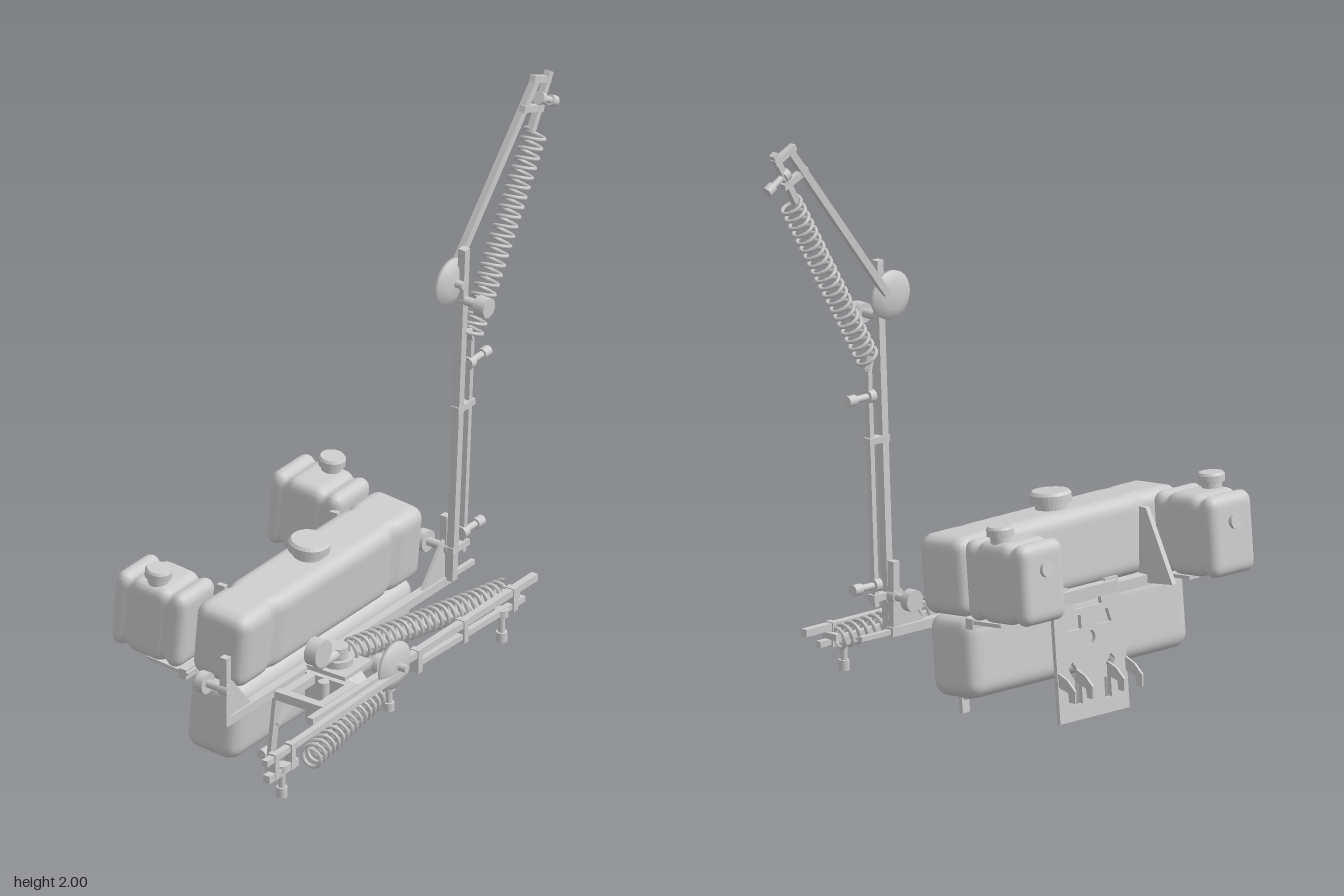
import * as THREE from 'three';
import { mergeVertices } from 'three/addons/utils/BufferGeometryUtils.js';

const mat = new THREE.MeshStandardMaterial({ color: 0xcccccc });
const V = (p) => new THREE.Vector3(...p);

export function createModel() {
  const root = new THREE.Group();

  const add = (name, geo, pos = [0, 0, 0], rot = [0, 0, 0]) => {
    const m = new THREE.Mesh(geo, mat);
    m.name = name;
    m.position.set(...pos);
    m.rotation.set(...rot);
    root.add(m);
    return m;
  };
  const box = (name, size, pos, rot) => add(name, new THREE.BoxGeometry(...size), pos, rot);

  // square bar between two points
  const bar = (name, a, b, w = 0.028, h = w) => {
    const d = V(b).sub(V(a));
    const m = box(name, [w, h, d.length()], V(a).add(V(b)).multiplyScalar(0.5).toArray());
    m.lookAt(V(b));
    return m;
  };
  // round rod between two points
  const rod = (name, a, b, r, r2 = r) => {
    const d = V(b).sub(V(a));
    const m = add(name, new THREE.CylinderGeometry(r2, r, d.length(), 20), V(a).add(V(b)).multiplyScalar(0.5).toArray());
    m.quaternion.setFromUnitVectors(new THREE.Vector3(0, 1, 0), d.normalize());
    return m;
  };
  // helical spring between two points
  const spring = (name, a, b, r, turns) => {
    const A = V(a), d = V(b).sub(A), dir = d.clone().normalize();
    const u = new THREE.Vector3(0, 0, 1).cross(dir).normalize(), w = dir.clone().cross(u);
    const curve = new THREE.Curve();
    curve.getPoint = (t, out = new THREE.Vector3()) => {
      const k = t * turns * Math.PI * 2;
      return out.copy(A).addScaledVector(d, t).addScaledVector(u, r * Math.cos(k)).addScaledVector(w, r * Math.sin(k));
    };
    add(name, new THREE.TubeGeometry(curve, turns * 16, 0.0065, 6));
  };
  // spray nozzle: stem with collar and tip
  const nozzle = (a, b) => {
    const mid = V(a).lerp(V(b), 0.7).toArray();
    rod('nozzleStem', a, mid, 0.011);
    rod('nozzleTip', mid, b, 0.018);
    rod('nozzleCollar', a, V(a).lerp(V(b), 0.22).toArray(), 0.022);
  };
  // smooth rounded body whose vertices may be shaped by a rule
  const body = (name, [w, h, d], r, rule, pos, rot) => {
    let g = new THREE.BoxGeometry(w, h, d, 48, 20, 28);
    const p = g.attributes.position, v = new THREE.Vector3(), q = new THREE.Vector3();
    const lim = new THREE.Vector3(w / 2 - r, h / 2 - r, d / 2 - r), neg = lim.clone().negate();
    for (let i = 0; i < p.count; i++) {
      v.fromBufferAttribute(p, i);
      q.copy(v).clamp(neg, lim);
      v.sub(q).setLength(r).add(q);
      rule(v);
      p.setXYZ(i, v.x, v.y, v.z);
    }
    g.deleteAttribute('normal');
    g.deleteAttribute('uv');
    g = mergeVertices(g, 1e-5);
    g.computeVertexNormals();
    return add(name, g, pos, rot);
  };
  const bump = (x, c, s) => Math.exp(-(((x - c) / s) ** 2));
  // ribbed filler cap
  const cap = (name, x, y, z, r, h) => {
    const pts = [[0, 0], [r * 0.75, 0], [r * 0.75, h * 0.4], [r, h * 0.45], [r, h * 0.85], [r * 0.88, h], [0, h]];
    const g = new THREE.LatheGeometry(pts.map((p) => new THREE.Vector2(...p)), 28).toNonIndexed();
    g.computeVertexNormals();
    add(name, g, [x, y, z], [0.09, 0, 0]);
  };
  const extrude = (name, pts, depth, pos, rot, holes = []) => {
    const s = new THREE.Shape(pts.map((p) => new THREE.Vector2(...p)));
    s.holes.push(...holes);
    return add(name, new THREE.ExtrudeGeometry(s, { depth, bevelEnabled: false }), pos, rot);
  };

  // main tank: upper and lower halves, grooved between the side columns
  const tilt = [0.09, 0, 0];
  const groove = (v) => { v.z *= 1 - 0.13 * (bump(v.x, -0.325, 0.02) + bump(v.x, 0.325, 0.02)); };
  body('upperTank', [0.995, 0.26, 0.205], 0.045, groove, [-0.172, 0.515, -0.022], tilt);
  body('lowerTank', [0.98, 0.27, 0.2], 0.05, () => {}, [-0.18, 0.252, -0.048], tilt);
  cap('mainCap', -0.18, 0.635, -0.015, 0.068, 0.068);

  // rear canisters with pinched waists, and their brackets
  const pinch = (v) => {
    const k = 1 - 0.09 * (bump(v.z, 0.075, 0.016) + bump(v.z, -0.075, 0.016));
    v.x *= k;
    v.y *= k;
  };
  for (const [x, s] of [[-0.6, -1], [0.245, 1]]) {
    body('canister', [0.195, 0.265, 0.275], 0.035, pinch, [x, 0.542, -0.28], tilt);
    cap('canisterCap', x + s * 0.05, 0.668, -0.265, 0.044, 0.055);
    rod('canisterBoss', [x, 0.6, -0.415], [x, 0.602, -0.428], 0.025);
    extrude('canisterBracket', [[0.13, 0.37], [0.13, 0.62], [0.16, 0.62], [0.28, 0.39]], 0.018,
      [x - s * 0.115 + 0.009, 0, 0], [0, Math.PI / 2, 0]);
    box('canisterShelf', [0.15, 0.012, 0.16], [x, 0.395, -0.21], tilt);
  }

  // rear rail and mounting plate
  box('rearRail', [1.0, 0.035, 0.03], [-0.175, 0.385, -0.152]);
  const poly = (pts) => new THREE.Path(pts.map((p) => new THREE.Vector2(...p)));
  const holes = [poly([[-0.06, 0.355], [0.06, 0.355], [0.06, 0.385], [-0.06, 0.385]])];
  holes.push(new THREE.Path().absarc(0, 0.255, 0.024, 0, Math.PI * 2, true));
  for (const s of [-1, 1]) {
    holes.push(poly([[s * 0.035, 0.29], [s * 0.1, 0.29], [s * 0.085, 0.335], [s * 0.035, 0.335]]));
    holes.push(poly([[s * 0.05, 0.05], [s * 0.08, 0.05], [s * 0.08, 0.13], [s * 0.105, 0.17], [s * 0.085, 0.19], [s * 0.05, 0.14]]));
  }
  extrude('mountingPlate', [[-0.155, 0], [0.155, 0], [0.155, 0.36], [0.14, 0.38], [0.14, 0.43], [0.085, 0.43],
    [0.075, 0.41], [-0.075, 0.41], [-0.085, 0.43], [-0.14, 0.43], [-0.14, 0.38], [-0.155, 0.36]],
  0.014, [-0.178, 0, -0.214], [0.09, 0, 0], holes);
  for (const x of [-0.33, -0.25, -0.11, -0.03]) {
    extrude('plateHook', [[0.2, 0.12], [0.2, 0.165], [0.24, 0.15], [0.275, 0.12], [0.275, 0.08], [0.25, 0.08], [0.245, 0.11]],
      0.008, [x - 0.004, 0, 0], [0, Math.PI / 2, 0]);
  }
  box('plateClamp', [0.25, 0.04, 0.03], [-0.178, 0.4, -0.175]);

  // front legs, struts and bolts
  for (const x of [-0.49, 0.135]) {
    bar('frontLeg', [x, 0.02, 0.057], [x, 0.34, 0.09], 0.032, 0.014);
    rod('legBolt', [x - 0.02, 0.085, 0.038], [x + 0.02, 0.085, 0.038], 0.016);
    bar('legStrut', [x, 0.2, 0.085], [x + 0.09, 0.27, 0.095], 0.016);
  }

  // front rail with gusseted uprights and clamp knobs
  bar('frontRail', [-0.79, 0.335, 0.09], [0.44, 0.335, 0.09], 0.03);
  for (const [x, s] of [[-0.78, 1], [0.42, -1]]) {
    box('upright', [0.026, 0.24, 0.026], [x, 0.445, 0.092]);
    extrude('gusset', [[x, 0.33], [x, 0.49], [x + s * 0.03, 0.47], [x + s * 0.13, 0.35], [x + s * 0.13, 0.33]], 0.012, [0, 0, 0.086]);
    rod('knobStem', [x, 0.45, 0.1], [x, 0.45, 0.02], 0.014);
    rod('clampKnob', [x, 0.45, 0.025], [x, 0.45, -0.005], 0.036);
    rod('clampCollar', [x, 0.45, 0.075], [x, 0.45, 0.11], 0.02);
  }
  bar('railEnd', [0.42, 0.335, 0.09], [0.57, 0.335, 0.092], 0.016);

  // centre carriage with motor
  for (const x of [-0.515, -0.35]) bar('carriageSide', [x, 0.325, 0.1], [x, 0.325, 0.29], 0.03);
  for (const z of [0.13, 0.275]) bar('carriageCross', [-0.53, 0.325, z], [-0.335, 0.325, z], 0.03);
  box('carriagePlate', [0.15, 0.014, 0.15], [-0.275, 0.35, 0.175]);
  extrude('carriageBox', [[-0.24, 0.27], [-0.2, 0.14], [-0.09, 0.15], [-0.085, 0.34], [-0.16, 0.36]], 0.14,
    [-0.34, 0, 0], [0, Math.PI / 2, 0]);
  rod('pivotPost', [-0.28, 0.25, 0.172], [-0.28, 0.42, 0.172], 0.035);
  rod('pivotCap', [-0.28, 0.35, 0.172], [-0.28, 0.38, 0.172], 0.05);
  rod('motor', [-0.395, 0.445, 0.155], [-0.395, 0.445, 0.2], 0.046);
  rod('motorArm', [-0.4, 0.4, 0.178], [-0.27, 0.4, 0.178], 0.02);
  rod('carriageKnob', [-0.43, 0.32, 0.225], [-0.43, 0.37, 0.225], 0.018);

  // domed joint disc facing the front, with a knob
  const joint = (x, y, z) => {
    const prof = [[0, -0.022], [0.045, -0.02], [0.08, -0.006], [0.08, 0.006], [0.045, 0.02], [0, 0.022]];
    add('jointDisc', new THREE.LatheGeometry(prof.map((p) => new THREE.Vector2(...p)), 32), [x, y, z], [Math.PI / 2, 0, 0]);
    rod('jointBolt', [x, y, z], [x, y, z + 0.05], 0.013);
  };

  // folded booms lying across the front
  bar('innerBoom', [-0.61, 0.325, 0.3], [0.615, 0.325, 0.3], 0.024);
  bar('innerBoomLower', [-0.03, 0.287, 0.3], [0.55, 0.275, 0.3], 0.02);
  for (const x of [-0.03, 0.22, 0.49]) box('boomClamp', [0.022, 0.08, 0.034], [x, 0.3, 0.3]);
  bar('outerBoom', [-0.93, 0.325, 0.352], [-0.14, 0.325, 0.335], 0.022);
  bar('outerBoomLower', [-0.92, 0.265, 0.352], [-0.76, 0.265, 0.352], 0.026);
  for (const x of [-0.88, -0.79]) box('outerClamp', [0.02, 0.09, 0.03], [x, 0.297, 0.352]);
  joint(-0.185, 0.355, 0.325);
  spring('outerSpring', [-0.73, 0.27, 0.385], [-0.25, 0.275, 0.305], 0.036, 15);
  spring('innerSpring', [-0.22, 0.37, 0.165], [0.52, 0.3, 0.25], 0.036, 24);
  bar('springLink', [0.51, 0.3, 0.25], [0.51, 0.3, 0.31], 0.02);
  nozzle([-0.835, 0.285, 0.352], [-0.835, 0.17, 0.352]);
  nozzle([-0.18, 0.28, 0.3], [-0.18, 0.185, 0.3]);
  nozzle([0.435, 0.285, 0.3], [0.435, 0.17, 0.3]);
  rod('boomKnobStem', [-0.12, 0.3, 0.3], [-0.12, 0.3, 0.22], 0.012);
  rod('boomKnob', [-0.12, 0.3, 0.235], [-0.12, 0.3, 0.212], 0.033);

  // raised mast: two parallel bars with ties
  const mz = (y) => 0.1 + 0.042 * y;
  bar('mastBar', [0.42, 0.34, mz(0.34)], [0.42, 1.54, mz(1.54)], 0.027);
  bar('mastPipe', [0.476, 0.42, mz(0.42)], [0.476, 1.19, mz(1.19)], 0.018);
  for (const y of [0.45, 0.96]) box('mastTie', [0.09, 0.022, 0.03], [0.448, y, mz(y)]);
  for (const y of [0.49, 1.105]) nozzle([0.46, y, mz(y)], [0.575, y, mz(y)]);
  bar('springHook', [0.476, 1.19, 0.15], [0.455, 1.23, 0.158], 0.018);
  joint(0.39, 1.425, 0.135);
  rod('mastKnobStem', [0.42, 1.355, 0.15], [0.42, 1.355, 0.23], 0.015);
  rod('mastKnob', [0.42, 1.355, 0.22], [0.42, 1.355, 0.262], 0.033);

  // angled tip arm with spring
  bar('tipArm', [0.43, 1.44, 0.115], [0.825, 1.98, 0.158], 0.024);
  bar('tipPipe', [0.79, 1.8, 0.16], [0.89, 1.975, 0.16], 0.022);
  bar('tipTie', [0.8, 1.985, 0.158], [0.89, 1.945, 0.158], 0.022);
  bar('tipTie', [0.745, 1.9, 0.158], [0.85, 1.86, 0.158], 0.022);
  nozzle([0.83, 1.905, 0.16], [0.92, 1.855, 0.16]);
  spring('tipSpring', [0.462, 1.215, 0.16], [0.81, 1.8, 0.165], 0.036, 21);

  return root;
}
